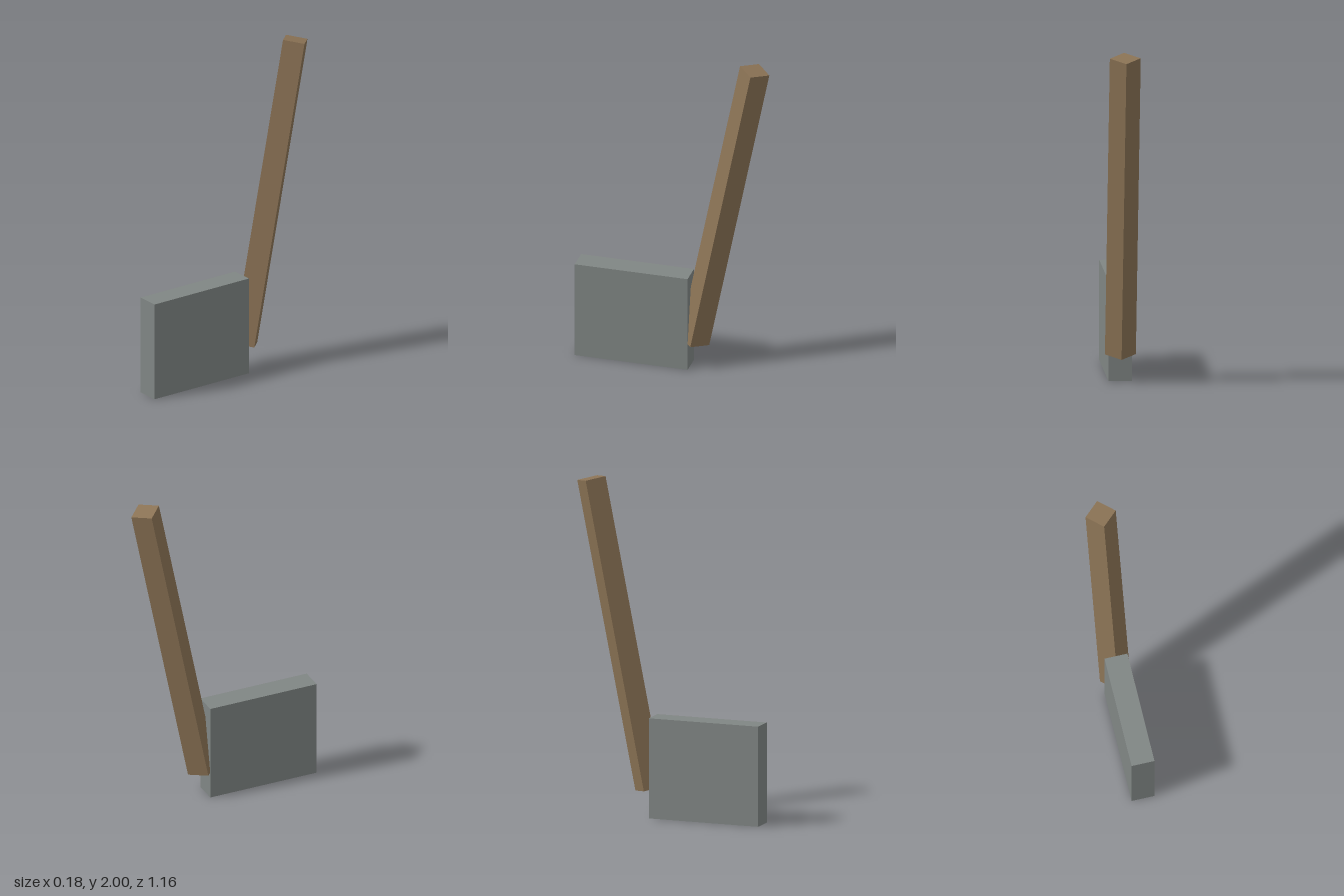
import * as THREE from 'three';

export function createModel() {
  const group = new THREE.Group();
  const wood = new THREE.MeshStandardMaterial({ color: 0x8b7355 });
  wood.name = 'wood brown';
  const metal = new THREE.MeshStandardMaterial({ color: 0x808684 });
  metal.name = 'metal grey';

  // upright slab standing on the ground
  const blade = new THREE.Mesh(new THREE.BoxGeometry(0.137, 0.595, 0.685), metal);
  blade.name = 'blade';
  blade.position.set(0, 0.2975, 0.24);

  // square bar turned on its edge, leaning back out of the blade
  const handle = new THREE.Mesh(new THREE.BoxGeometry(0.128, 1.856, 0.128), wood);
  handle.name = 'handle';
  handle.position.set(0, 1.073, -0.308);
  handle.rotation.set(-0.198, Math.PI / 4, 0);

  group.add(blade, handle);
  return group;
}
